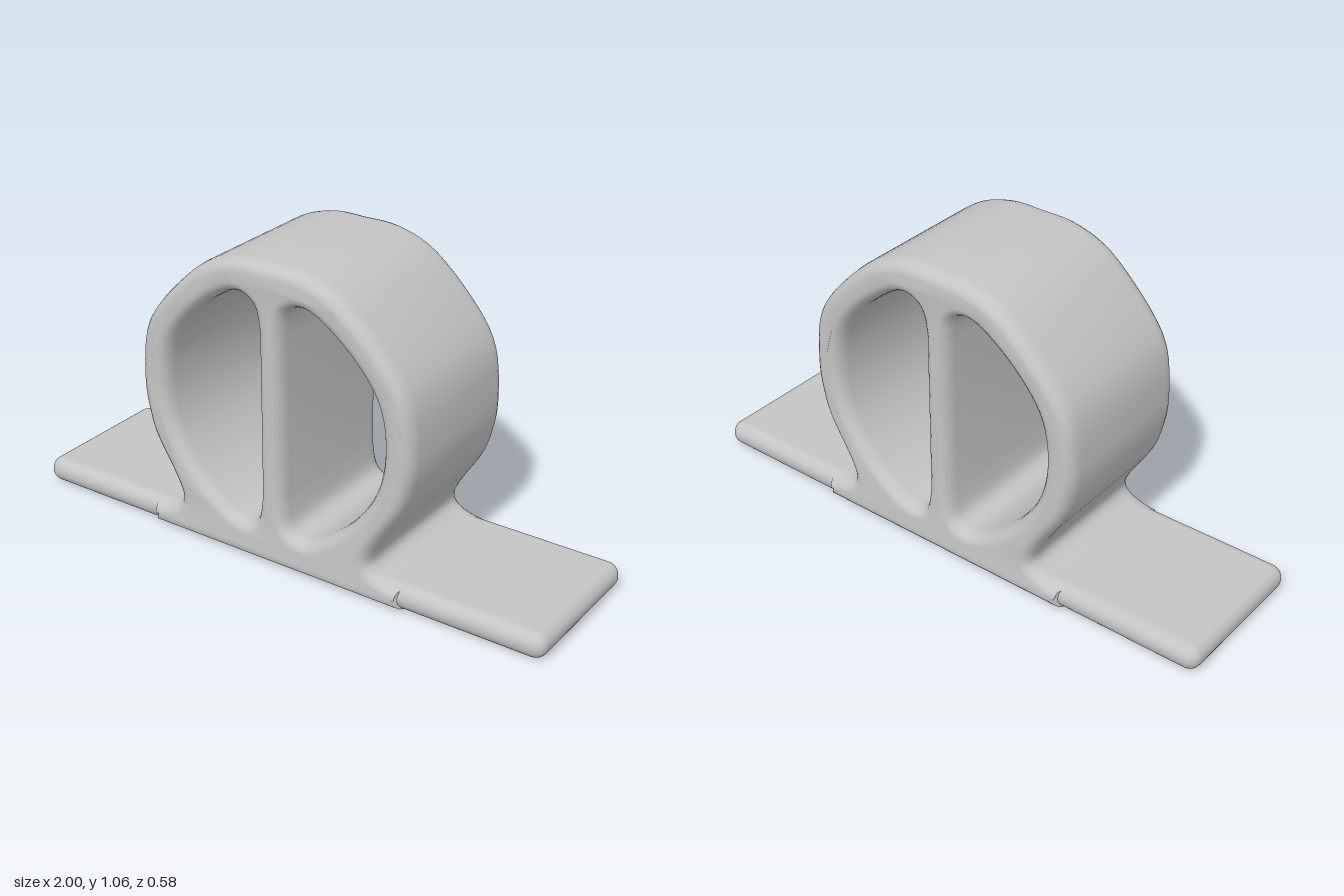
import * as THREE from 'three';
import { mergeVertices, toCreasedNormals } from 'three/addons/utils/BufferGeometryUtils.js';
import { RoundedBoxGeometry } from 'three/addons/geometries/RoundedBoxGeometry.js';

const vectors = (list) => list.map(([x, y]) => new THREE.Vector2(x, y));
const mirrored = (list) => list.map(([x, y]) => [-x, y]);

// Smooth points through a coarse profile
const smooth = (list, n) => new THREE.SplineCurve(vectors(list)).getPoints(n);

// Right half of the ring outline, from the foot fillet up to the crown
const OUTER = [
  [0.5, 0.08], [0.42, 0.095], [0.378, 0.13], [0.4, 0.2], [0.48, 0.33], [0.513, 0.42],
  [0.53, 0.54], [0.51, 0.72], [0.43, 0.85], [0.27, 1.0], [0.13, 1.055],
];

// Right opening, counter-clockwise from the lower end of the divider
const OPENING = [
  [0.045, 0.25], [0.062, 0.155], [0.12, 0.13], [0.2, 0.165], [0.31, 0.26], [0.39, 0.385],
  [0.42, 0.53], [0.4, 0.69], [0.32, 0.81], [0.2, 0.91], [0.12, 0.94], [0.062, 0.91], [0.045, 0.83],
];

function ringGeometry() {
  const outline = smooth([...OUTER, [0, 1.06], ...mirrored(OUTER).reverse()], 110);
  const shape = new THREE.Shape([
    new THREE.Vector2(-0.5, 0), new THREE.Vector2(0.5, 0), ...outline,
  ]);
  for (const profile of [OPENING, mirrored(OPENING)]) {
    shape.holes.push(new THREE.Path(smooth(profile, 60)));
  }
  const bevel = 0.055, depth = 0.58 - 2 * bevel;
  let geo = new THREE.ExtrudeGeometry(shape, {
    depth, bevelThickness: bevel, bevelSize: 0.038, bevelOffset: -0.038, bevelSegments: 5, steps: 1,
  });
  geo.translate(0, 0, -depth / 2);

  // Slight waist at mid height
  const p = geo.attributes.position;
  for (let i = 0; i < p.count; i++) {
    const waist = Math.exp(-(((p.getY(i) - 0.53) / 0.25) ** 2));
    p.setZ(i, p.getZ(i) * (1 - 0.025 * waist));
  }

  geo.deleteAttribute('normal');
  geo.deleteAttribute('uv');
  geo = mergeVertices(geo, 1e-4);
  return toCreasedNormals(geo, 0.8);
}

export function createModel() {
  const group = new THREE.Group();
  const grey = new THREE.MeshStandardMaterial({ color: 0xc4c4c4 });
  grey.name = 'light grey';

  // Ring with its central divider and flared foot
  const ring = new THREE.Mesh(ringGeometry(), grey);
  ring.name = 'dividedRing';
  group.add(ring);

  // Long flat base with rounded edges
  const base = new THREE.Mesh(new RoundedBoxGeometry(2, 0.09, 0.55, 5, 0.044), grey);
  base.name = 'basePlate';
  base.position.y = 0.045;
  group.add(base);

  return group;
}
